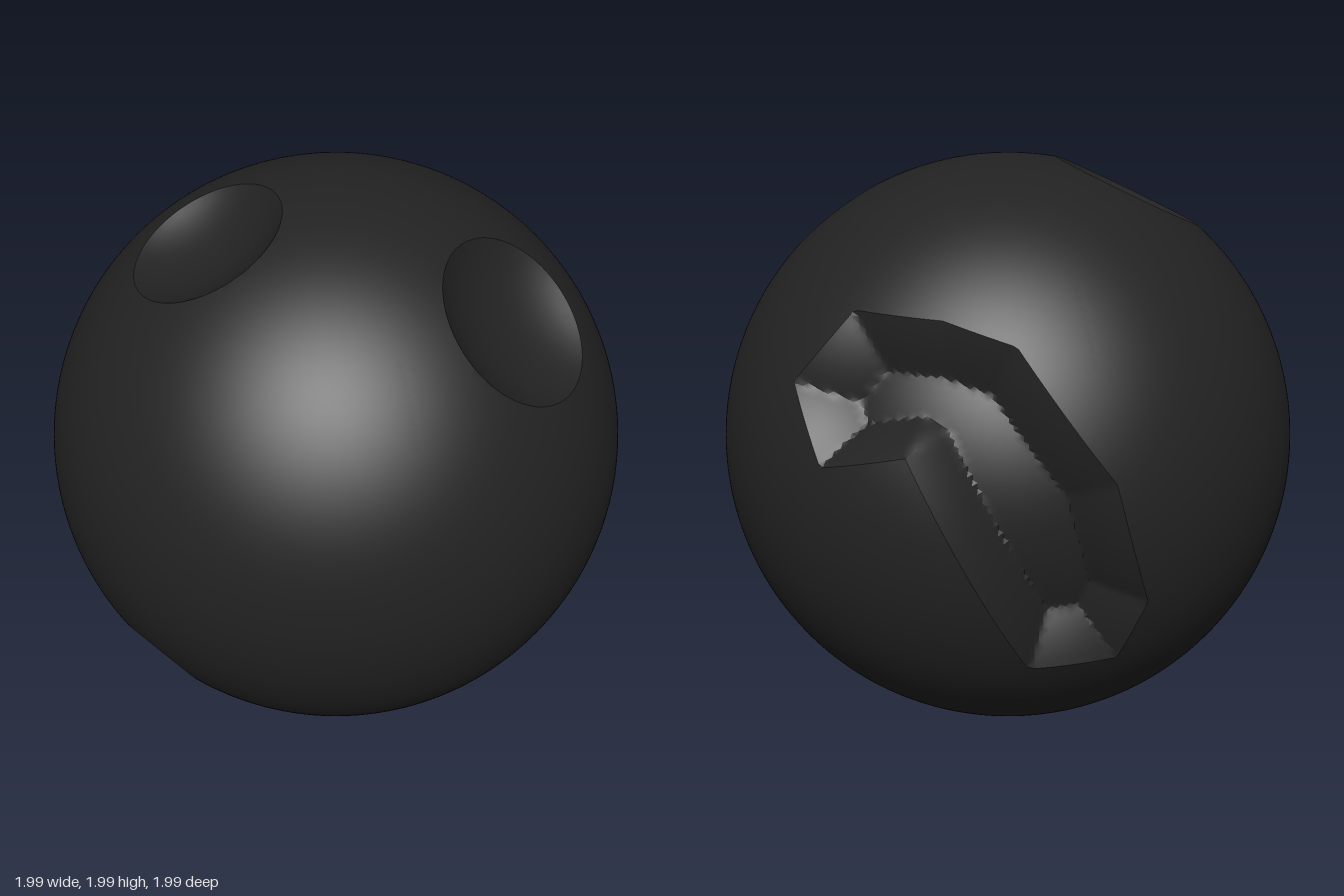
import * as THREE from 'three';
import { mergeVertices, toCreasedNormals } from 'three/addons/utils/BufferGeometryUtils.js';

const RADIUS = 0.995;
const SNAP = 0.011; // vertices this close to a rim are pulled onto it
const vec = (x, y, z) => new THREE.Vector3(x, y, z).normalize();

// Round craters: direction, angular rim radius, depth
const craters = [
  { dir: vec(0.44, 0.69, 0.49), rim: 0.3, depth: 0.13 },
  { dir: vec(-0.44, 0.87, 0), rim: 0.275, depth: 0.12 },
  { dir: vec(-0.76, -0.52, 0.38), rim: 0.15, depth: 0.05 },
  { dir: vec(0.74, -0.43, 0.52), rim: 0.105, depth: 0.035 },
];

// Bent trench on the back, drawn on a disc facing its middle
const axis = vec(0.37, 0.16, -0.91);
const right = new THREE.Vector3(0, 1, 0).cross(axis).normalize();
const up = axis.clone().cross(right);
const trench = [
  [0.83, 0.42, -0.36], [0.64, 0.65, -0.41], [0.42, 0.66, -0.63], [0.23, 0.6, -0.77],
  [-0.02, 0.2, -0.98], [-0.14, -0.22, -0.96], [-0.07, -0.44, -0.88], [0.22, -0.45, -0.86],
  [0.42, -0.1, -0.9], [0.58, 0.28, -0.76], [0.8, 0.2, -0.56],
].map((p) => flatten(vec(...p)));
const TRENCH_DEPTH = 0.13;
const TRENCH_WALL = 0.13;

function flatten(d) {
  return new THREE.Vector2(d.dot(right), d.dot(up));
}

// Nearest point on the trench outline, and whether p lies inside it
function trenchQuery(p) {
  let inside = false, dist = Infinity;
  const nearest = new THREE.Vector2();
  trench.forEach((a, i) => {
    const b = trench[(i + 1) % trench.length];
    const ab = b.clone().sub(a);
    const t = THREE.MathUtils.clamp(p.clone().sub(a).dot(ab) / ab.lengthSq(), 0, 1);
    const q = a.clone().addScaledVector(ab, t);
    if (q.distanceTo(p) < dist) {
      dist = q.distanceTo(p);
      nearest.copy(q);
    }
    if ((a.y > p.y) !== (b.y > p.y) && p.x < a.x + (ab.x * (p.y - a.y)) / ab.y) inside = !inside;
  });
  return { inside, dist, nearest };
}

// Moves one unit direction onto the dented ball
function dent(d) {
  for (const { dir, rim, depth } of craters) {
    const angle = d.angleTo(dir);
    if (Math.abs(angle - rim) < SNAP) {
      const side = d.clone().addScaledVector(dir, -d.dot(dir)).normalize();
      d.copy(dir).multiplyScalar(Math.cos(rim)).addScaledVector(side, Math.sin(rim));
      return d.multiplyScalar(RADIUS);
    }
    if (angle < rim) {
      // bowl left by a ball centred outside the surface
      const floor = 1 - depth;
      const c = (1 - floor * floor) / (2 * (Math.cos(rim) - floor));
      const k = c - floor;
      const u = c * Math.cos(angle);
      return d.multiplyScalar(RADIUS * (u - Math.sqrt(k * k - c * c + u * u)));
    }
  }
  if (d.dot(axis) > 0.4) {
    const { inside, dist, nearest } = trenchQuery(flatten(d));
    if (dist < SNAP) {
      d.copy(axis).multiplyScalar(Math.sqrt(1 - nearest.lengthSq()));
      d.addScaledVector(right, nearest.x).addScaledVector(up, nearest.y);
    } else if (inside) {
      return d.multiplyScalar(RADIUS - TRENCH_DEPTH * Math.min(1, dist / TRENCH_WALL));
    }
  }
  return d.multiplyScalar(RADIUS);
}

export function createModel() {
  const group = new THREE.Group();
  group.name = 'dentedBall';

  // Even ball of triangles, dented by rule
  let geometry = new THREE.IcosahedronGeometry(1, 60);
  geometry.deleteAttribute('uv');
  geometry.deleteAttribute('normal');
  geometry = mergeVertices(geometry, 1e-4);
  const pos = geometry.attributes.position;
  const d = new THREE.Vector3();
  for (let i = 0; i < pos.count; i++) {
    dent(d.fromBufferAttribute(pos, i).normalize());
    pos.setXYZ(i, d.x, d.y, d.z);
  }
  geometry = toCreasedNormals(geometry, 0.4);

  const ball = new THREE.Mesh(geometry, new THREE.MeshStandardMaterial({ color: 0x222222 }));
  ball.name = 'crateredBall';
  ball.position.y = RADIUS;
  group.add(ball);
  return group;
}
